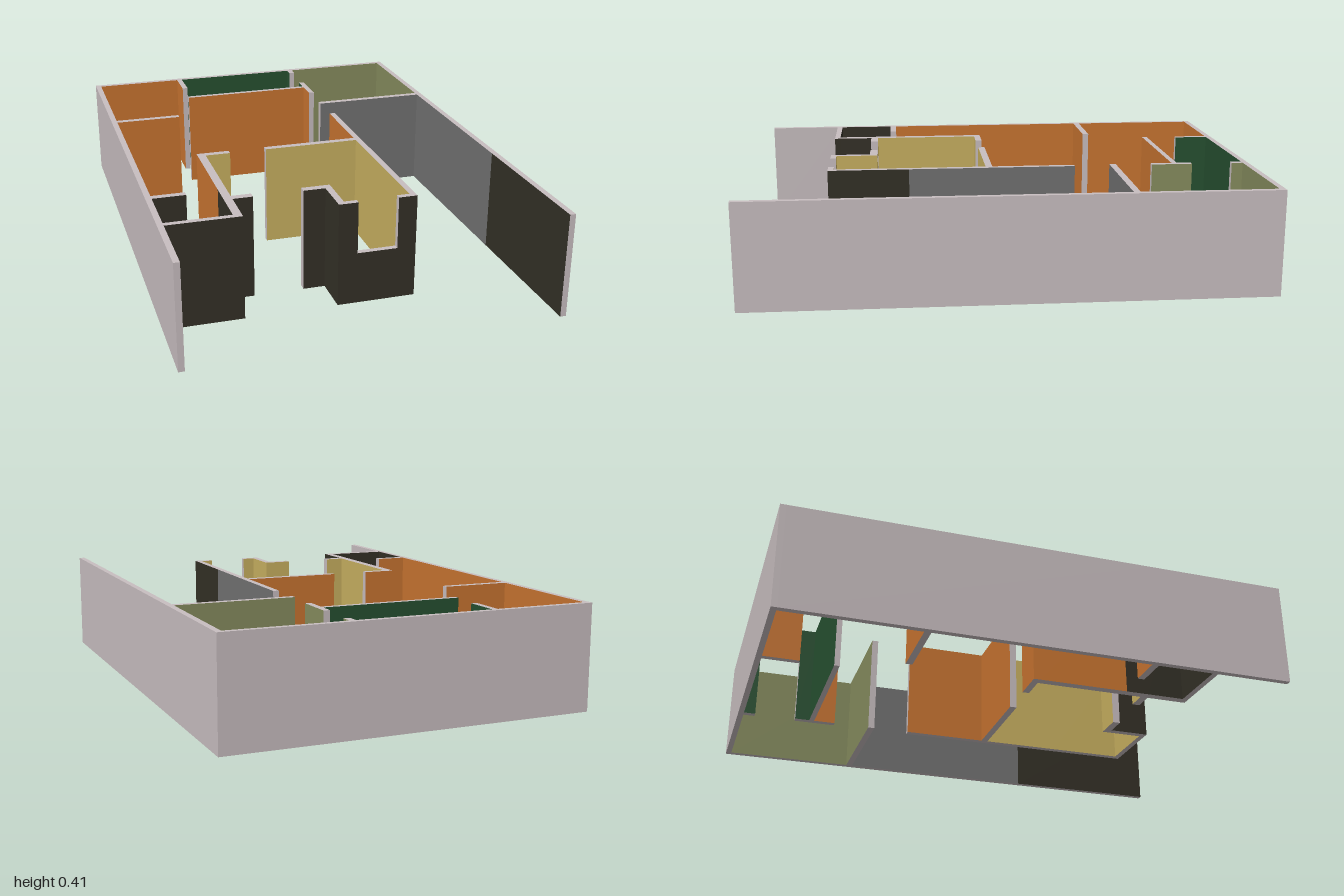
import * as THREE from 'three';

const HEIGHT = 0.408;

// paint colours
const paint = (color) => new THREE.MeshStandardMaterial({ color });
const P = paint(0xc8bec0); // plain plaster: outside, tops and wall ends
const O = paint(0xc87430); // orange living area
const Y = paint(0xc8b060); // yellow room
const D = paint(0x333026); // dark porch, closet and facade
const G = paint(0x717171); // grey side passage
const V = paint(0x868c5e); // olive back room
const B = paint(0x265030); // dark green bathroom
const _ = null; // face hidden against a neighbouring wall

// Upright wall block; sides are the paints of its +x, -x, +z and -z faces
function wall(name, [x0, x1], [z0, z1], [px, nx, pz, nz], y0 = 0, y1 = HEIGHT) {
  const geometry = new THREE.BoxGeometry(x1 - x0, y1 - y0, z1 - z0);
  const source = Array.from(geometry.index.array);
  const paints = [px, nx, P, P, pz, nz];
  const index = [];
  const materials = [];
  geometry.clearGroups();
  paints.forEach((material, face) => {
    if (!material) return;
    geometry.addGroup(index.length, 6, materials.length);
    index.push(...source.slice(face * 6, face * 6 + 6));
    materials.push(material);
  });
  geometry.setIndex(index);
  const mesh = new THREE.Mesh(geometry, materials);
  mesh.name = name;
  mesh.position.set((x0 + x1) / 2, (y0 + y1) / 2, (z0 + z1) / 2);
  return mesh;
}

// Row of blocks along z that share a thickness; each stretch is [zEnd, +x paint, -x paint]
function wallAlongZ(name, xs, zStart, stretches, backEnd, frontEnd) {
  const group = new THREE.Group();
  group.name = name;
  let z = zStart;
  stretches.forEach(([zEnd, px, nx], i) => {
    const front = i === stretches.length - 1 ? frontEnd : _;
    group.add(wall(`${name}Section${i + 1}`, xs, [z, zEnd], [px, nx, front, i ? _ : backEnd]));
    z = zEnd;
  });
  return group;
}

// Row of blocks along x; each stretch is [xEnd, +z paint, -z paint]
function wallAlongX(name, zs, xStart, stretches, startEnd, finalEnd) {
  const group = new THREE.Group();
  group.name = name;
  let x = xStart;
  stretches.forEach(([xEnd, pz, nz], i) => {
    const end = i === stretches.length - 1 ? finalEnd : _;
    group.add(wall(`${name}Section${i + 1}`, [x, xEnd], zs, [end, i ? _ : startEnd, pz, nz]));
    x = xEnd;
  });
  return group;
}

export function createModel() {
  const house = new THREE.Group();
  house.name = 'houseWalls';
  const west = [-0.718, -0.695];
  const east = [0.695, 0.718];
  const hall = [0.222, 0.246];
  const backCross = [-0.463, -0.437];
  const midCross = [0.034, 0.061];
  const door = [0.492, 0.522];
  const facade = [0.66, 0.683];

  // outer shell
  house.add(
    wallAlongX('backOuterWall', [-1, -0.978], west[0],
      [[west[1], _, P], [-0.32, O, P], [0.233, B, P], [east[0], V, P], [east[1], _, P]], P, P),
    wallAlongZ('westOuterWall', west, -0.978,
      [[0.42, O, P], [0.67, D, P], [0.978, P, P]], _, P),
    wallAlongZ('eastOuterWall', east, -0.978,
      [[-0.45, P, V], [0.365, P, G], [1, P, D]], _, P),
  );

  // back rooms
  house.add(
    wall('bathroomWestStub', [-0.33, -0.307], [-0.978, -0.84], [B, O, P, _]),
    wall('bathroomEastStub', hall, [-0.978, -0.933], [V, B, P, _]),
    wall('bathroomFrontWall', [-0.33, hall[0]], [-0.712, -0.691], [_, P, O, B]),
    wallAlongZ('bathroomEastWall', hall, -0.77,
      [[-0.7, V, B], [-0.606, V, O]], P, P),
    wall('westPartition', [west[1], -0.424], backCross, [P, _, O, O]),
    wall('olivePartition', [0.225, east[0]], backCross, [_, P, G, V]),
  );

  // yellow room
  house.add(
    wallAlongZ('hallWall', hall, -0.294,
      [[0.047, G, O], [0.365, G, Y], [0.66, D, Y], [facade[1], D, _]], P, D),
    wall('yellowBackWall', [-0.164, hall[0]], midCross, [_, P, Y, O]),
    wall('yellowBackStub', [-0.413, -0.313], midCross, [P, _, Y, O]),
    wallAlongZ('yellowWestWall', [-0.445, -0.413], midCross[0],
      [[midCross[1], _, O], [0.42, Y, O], [0.507, Y, D], [facade[0], D, D], [facade[1], D, _]], O, D),
    wall('entryWestStub', [-0.413, -0.336], door, [P, _, D, Y]),
    wall('entryEastStub', [-0.143, -0.058], door, [_, P, D, Y]),
    wall('porchSideWall', [-0.058, -0.032], [door[0], facade[1]], [Y, D, D, Y]),
  );

  // front wall with a window opening above a low sill
  house.add(
    wall('windowWestPier', [-0.032, 0.017], facade, [P, _, D, Y]),
    wall('windowSill', [0.017, 0.173], facade, [_, _, D, Y], 0, 0.204),
    wall('windowEastPier', [0.173, hall[0]], facade, [_, P, D, Y]),
  );

  // closet by the west wall
  house.add(
    wall('closetBackStub', [west[1], -0.567], [0.41, 0.437], [P, _, D, O]),
    wall('closetFrontWall', [west[1], -0.445], facade, [_, _, D, D]),
  );
  return house;
}
